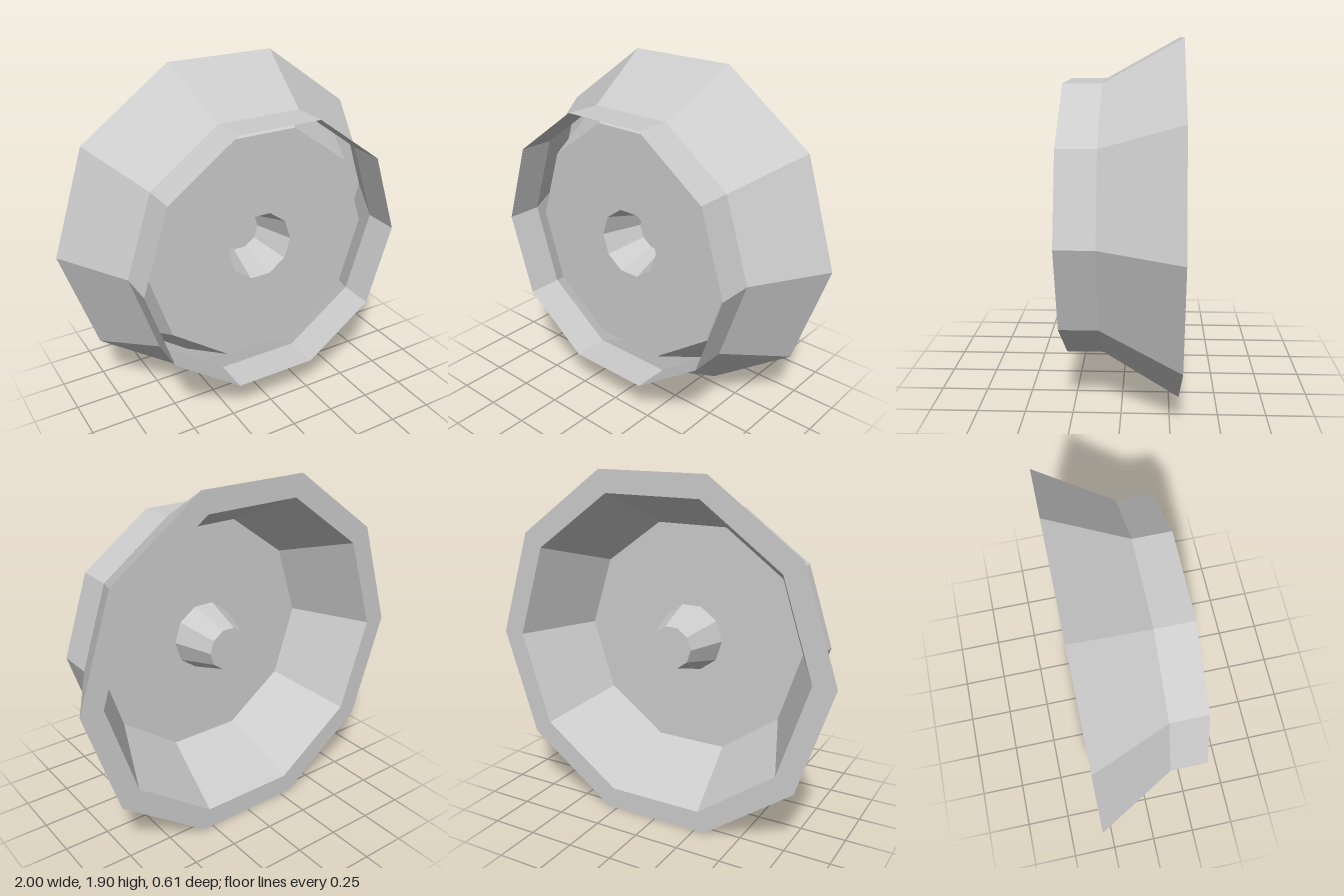
import * as THREE from 'three';

const SIDES = 10;
const CENTRE_Y = Math.sin(THREE.MathUtils.degToRad(72)); // decagon rests on a flat side

const material = new THREE.MeshStandardMaterial({
  color: 0xcccccc,
  flatShading: true,
  side: THREE.DoubleSide,
});

// Ten-sided sheet turned about the z axis from [radius, z] points
function turned(name, profile) {
  const points = profile.map(([r, z]) => new THREE.Vector2(r, z));
  const geometry = new THREE.LatheGeometry(points, SIDES, Math.PI / 2).toNonIndexed();
  geometry.rotateX(Math.PI / 2);
  geometry.computeVertexNormals();
  const mesh = new THREE.Mesh(geometry, material);
  mesh.name = name;
  return mesh;
}

export function createModel() {
  const model = new THREE.Group();
  model.name = 'flaredDish';

  const socketEnd = [0.12, -0.11];
  const socketMouth = [0.193, 0.12];
  const floorEdge = [0.67, 0.12];
  const rimInner = [0.875, -0.305];
  const rimOuter = [1, -0.305];
  const neck = [0.763, 0.105];
  const collarEdge = [0.763, 0.305];

  model.add(
    // Tapered blind socket in the middle
    turned('centreSocket', [[0, socketEnd[1]], socketEnd, socketMouth]),
    // Flat plate around the socket
    turned('floorPlate', [socketMouth, floorEdge]),
    // Inner wall, back rim and outer wall of the flare
    turned('innerWall', [floorEdge, rimInner]),
    turned('backRim', [rimInner, rimOuter]),
    turned('outerFlare', [rimOuter, neck]),
    // Thin open collar at the front
    turned('frontCollar', [neck, collarEdge]),
  );

  model.children.forEach((part) => { part.position.y = CENTRE_Y; });
  return model;
}
